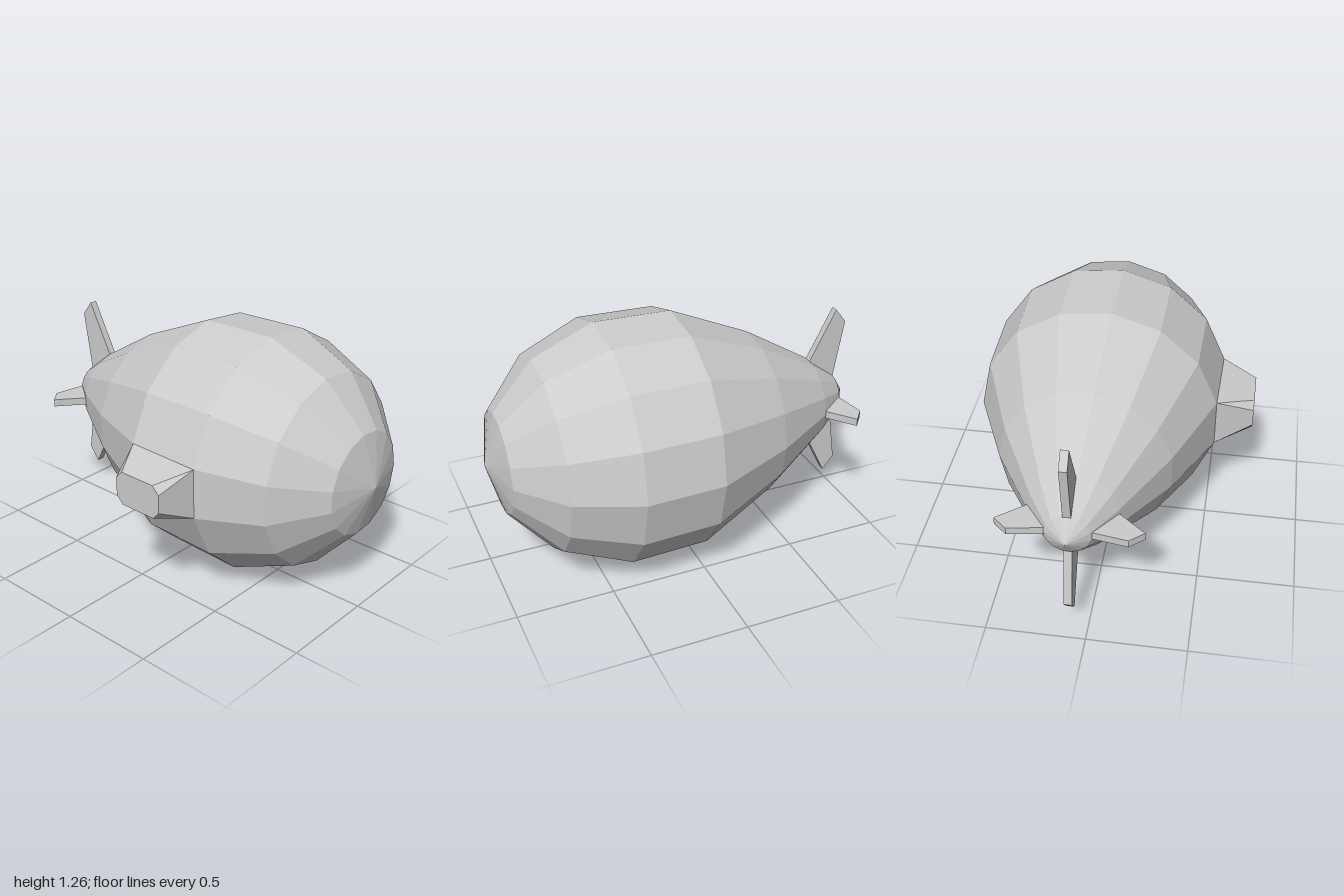
import * as THREE from 'three';
import { ConvexGeometry } from 'three/addons/geometries/ConvexGeometry.js';

const CY = 0.63, CZ = -0.085; // hull axis

export function createModel() {
  const group = new THREE.Group();
  const grey = new THREE.MeshStandardMaterial({ color: 0xcccccc, flatShading: true });
  grey.name = 'light grey';

  const add = (name, geometry) => {
    const mesh = new THREE.Mesh(geometry, grey);
    mesh.name = name;
    group.add(mesh);
    return mesh;
  };

  // Hull: fifteen-sided, turned about the x axis, from tail to nose
  const profile = [
    [0, -1], [0.11, -0.93], [0.224, -0.78], [0.437, -0.43], [0.623, -0.01],
    [0.633, 0.395], [0.5, 0.72], [0.266, 0.93], [0, 1],
  ].map(([r, x]) => new THREE.Vector2(r, x));
  const hull = new THREE.LatheGeometry(profile, 15, Math.PI);
  hull.rotateZ(-Math.PI / 2);
  add('hull', hull).position.set(0, CY, CZ);

  // Cabin: rectangular root on the hull, tapering to a chamfered end
  const points = [];
  for (const s of [-1, 1]) {
    points.push(new THREE.Vector3(-0.01, CY + s * 0.13, 0.524));
    points.push(new THREE.Vector3(0.395, CY + s * 0.13, 0.534));
    for (const t of [-1, 1]) {
      points.push(new THREE.Vector3(0.202 + t * 0.1, CY + s * 0.087, 0.715));
      points.push(new THREE.Vector3(0.202 + t * 0.138, CY + s * 0.047, 0.715));
    }
  }
  add('cabin', new ConvexGeometry(points));

  // Tail fins: outline as x and distance from the axis, turned around it
  const finGeometry = (outline) => {
    const shape = new THREE.Shape(outline.map(([x, r]) => new THREE.Vector2(x, r)));
    const geometry = new THREE.ExtrudeGeometry(shape, { depth: 0.04, bevelEnabled: false });
    return geometry.translate(0, 0, -0.02);
  };
  const tall = finGeometry([[-0.92, 0.05], [-0.78, 0.05], [-0.78, 0.22], [-0.92, 0.495], [-0.98, 0.42], [-0.93, 0.1]]);
  const short = finGeometry([[-0.9, 0.05], [-0.78, 0.05], [-0.78, 0.22], [-0.89, 0.355], [-0.95, 0.285], [-0.92, 0.1]]);
  [['upperFin', tall], ['frontFin', short], ['lowerFin', tall], ['rearFin', short]].forEach(([name, geometry], i) => {
    const fin = add(name, geometry);
    fin.position.set(0, CY, CZ);
    fin.rotation.x = i * Math.PI / 2;
  });

  return group;
}
